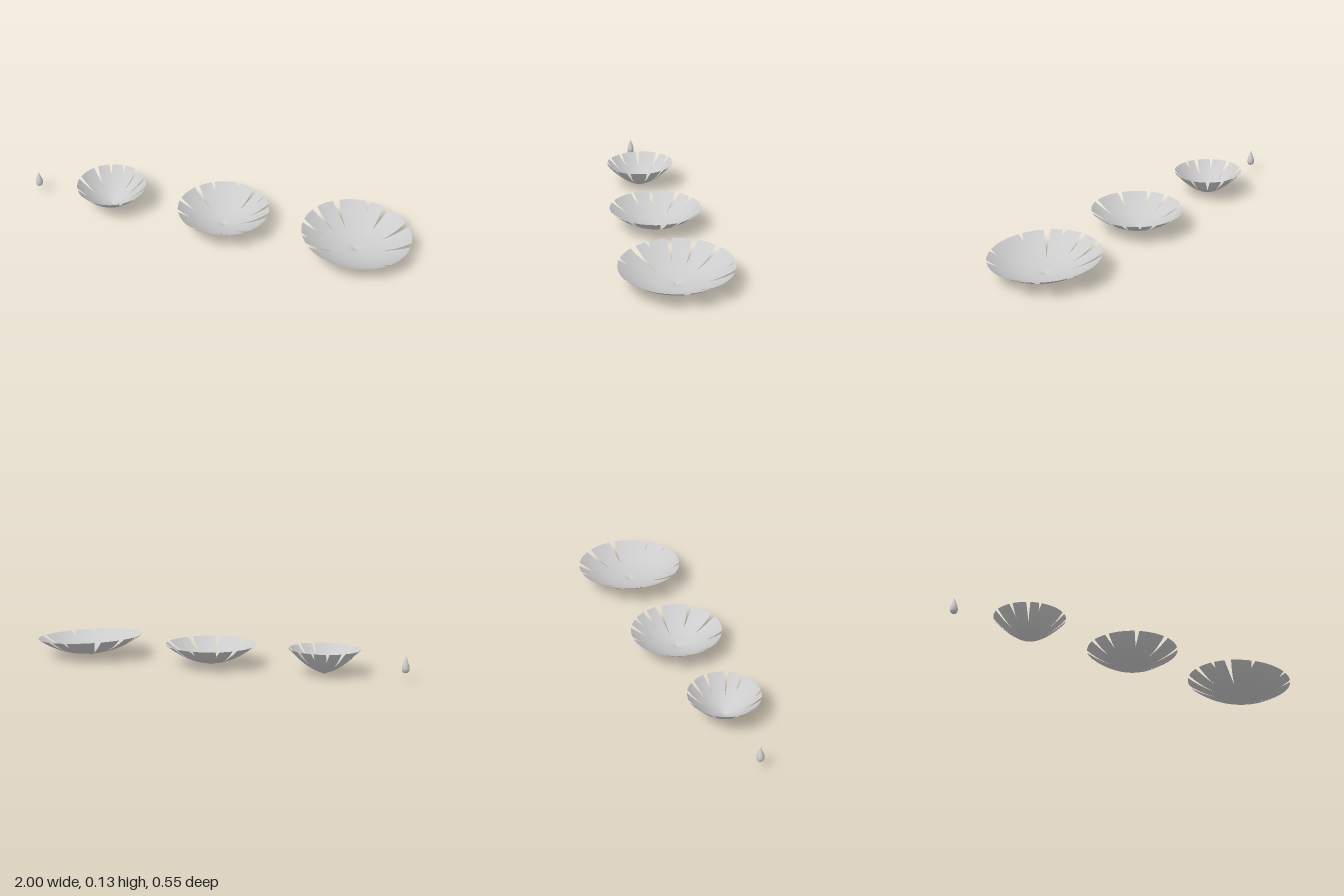
import * as THREE from 'three';
import { mergeVertices } from 'three/addons/utils/BufferGeometryUtils.js';

const RINGS = 30, STEPS = 6;
const material = new THREE.MeshStandardMaterial({ color: 0xcccccc, side: THREE.DoubleSide });

// Thin bowl with a small pointed nib below, split into lobes by tapered slits.
// slits: [angle from +x towards +z in degrees, inner end as fraction of radius]
function slitBowl({ radius, height, nib, power, tiltX, tiltZ, slits }) {
  const positions = [], index = [];
  // Half opening of a slit in degrees: longer slits open wider at the rim
  const gap = ([, inner], f) => (1.8 + 3.4 * (1 - inner)) * Math.max(0, (f - inner) / (1 - inner));
  slits.forEach((slit, k) => {
    const next = slits[(k + 1) % slits.length];
    const end = next[0] + (k === slits.length - 1 ? 360 : 0);
    const base = positions.length / 3;
    for (let i = 0; i <= RINGS; i++) {
      const f = (i / RINGS) ** 1.3, r = radius * f;
      const y = nib * (1 - Math.exp(-r / 0.014)) + (height - nib) * f ** power;
      const a0 = slit[0] + gap(slit, f), a1 = end - gap(next, f);
      for (let j = 0; j <= STEPS; j++) {
        const a = THREE.MathUtils.degToRad(a0 + (a1 - a0) * j / STEPS);
        const x = r * Math.cos(a), z = r * Math.sin(a);
        positions.push(x, y + tiltX * x + tiltZ * z, z);
        if (i < RINGS && j < STEPS) {
          const n = base + i * (STEPS + 1) + j, m = n + STEPS + 1;
          index.push(n, n + 1, m, n + 1, m + 1, m);
        }
      }
    }
  });
  const geometry = new THREE.BufferGeometry();
  geometry.setAttribute('position', new THREE.Float32BufferAttribute(positions, 3));
  geometry.setIndex(index);
  const merged = mergeVertices(geometry, 1e-5);
  merged.computeVertexNormals();
  return merged;
}

// Teardrop with a rounded base and its point up
function teardrop(bottom, top, radius) {
  const profile = [];
  for (let i = 0; i <= 16; i++) {
    const t = Math.PI * i / 16;
    const r = radius * 1.54 * Math.sin(t) * Math.cos(t / 2) ** 2;
    profile.push(new THREE.Vector2(Math.max(0, r), bottom + (top - bottom) * (1 - Math.cos(t)) / 2));
  }
  return new THREE.LatheGeometry(profile, 20);
}

export function createModel() {
  const group = new THREE.Group();
  const add = (name, x, geometry) => {
    const mesh = new THREE.Mesh(geometry, material);
    mesh.name = name;
    mesh.position.x = x;
    group.add(mesh);
  };

  // Closed bud, then three bowls of growing width
  add('closedBud', -0.98, teardrop(0.036, 0.124, 0.019));

  add('smallPetalBowl', -0.57, slitBowl({
    radius: 0.178, height: 0.127, nib: 0.008, power: 1.7, tiltX: 0, tiltZ: -0.02,
    slits: [[-88, 0.82], [-63, 0.5], [-36, 0.5], [-8, 0.55], [27, 0.5], [53, 0.65],
      [103, 0.85], [122, 0.55], [150, 0.7], [183, 0.45], [222, 0.45], [248, 0.75]],
  }));

  add('mediumPetalBowl', 0.035, slitBowl({
    radius: 0.232, height: 0.108, nib: 0.012, power: 2, tiltX: 0, tiltZ: 0,
    slits: [[-87, 0.85], [-61, 0.5], [-43, 0.8], [-23, 0.6], [-2, 0.33], [40, 0.5],
      [77, 0.5], [118, 0.65], [157, 0.7], [182, 0.6], [217, 0.5], [240, 0.82]],
  }));

  add('largePetalBowl', 0.725, slitBowl({
    radius: 0.274, height: 0.102, nib: 0.013, power: 2.27, tiltX: -0.055, tiltZ: -0.018,
    slits: [[-89, 0.85], [-69, 0.52], [-35, 0.5], [-1, 0.5], [43, 0.82], [67, 0.88],
      [112, 0.88], [140, 0.45], [158, 0.9], [181, 0.6], [207, 0.5], [235, 0.48]],
  }));

  return group;
}
